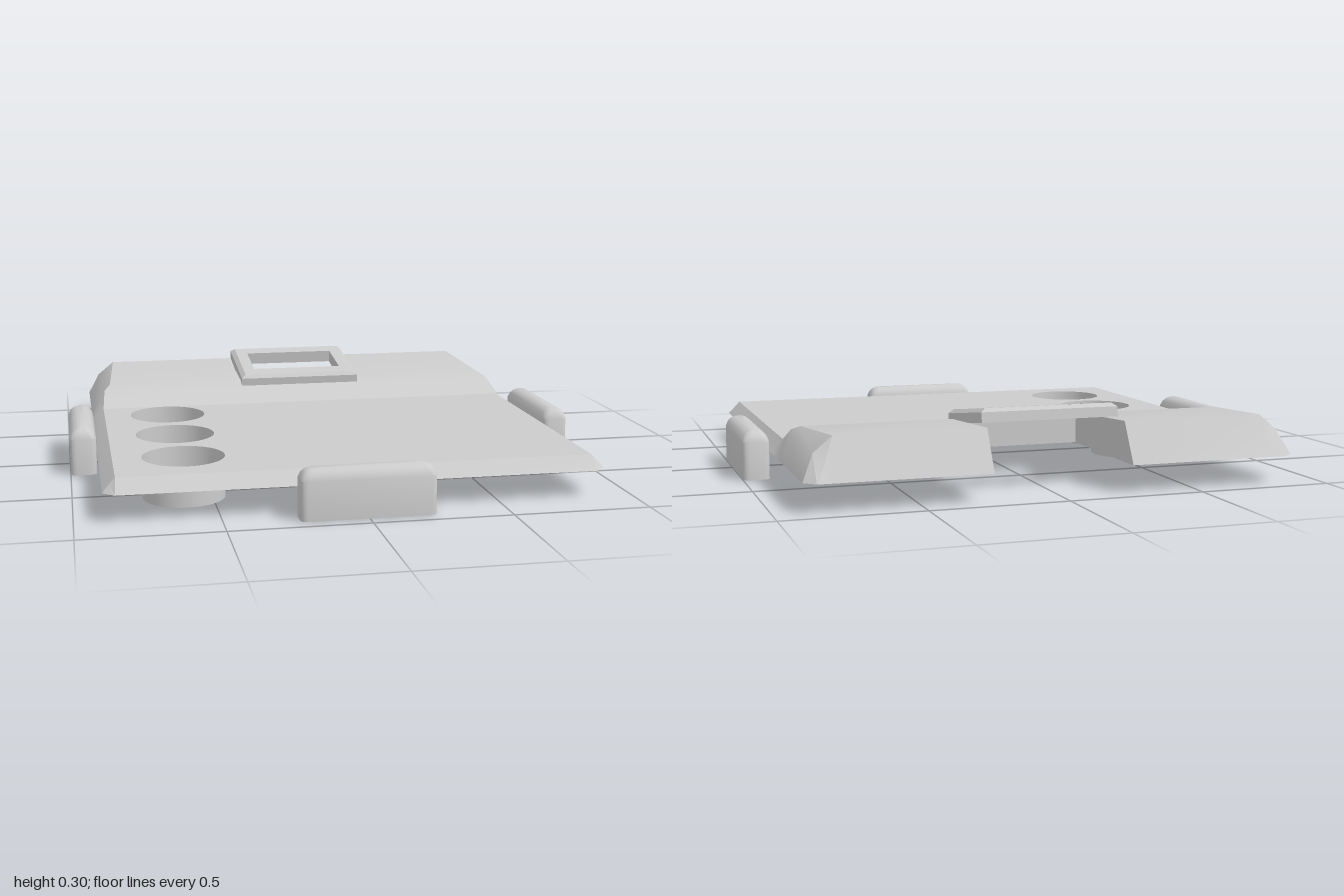
import * as THREE from 'three';
import { toCreasedNormals } from 'three/addons/utils/BufferGeometryUtils.js';

const solid = new THREE.MeshStandardMaterial({ color: 0xcccccc });
const sheet = new THREE.MeshStandardMaterial({ color: 0xcccccc, side: THREE.DoubleSide });

function add(parent, name, geometry, material, x = 0, y = 0, z = 0) {
  const mesh = new THREE.Mesh(geometry, material);
  mesh.name = name;
  mesh.position.set(x, y, z);
  parent.add(mesh);
  return mesh;
}

// Skin a grid of points, row by row; keep(i, j) can leave quads open.
function skin(rows, crease, keep = () => true) {
  const n = rows[0].length, index = [];
  for (let i = 0; i < rows.length - 1; i++) {
    for (let j = 0; j < n - 1; j++) {
      if (!keep(i, j)) continue;
      const a = i * n + j, d = a + n;
      index.push(a, a + 1, d + 1, a, d + 1, d);
    }
  }
  const g = new THREE.BufferGeometry();
  g.setAttribute('position', new THREE.Float32BufferAttribute(rows.flat(2), 3));
  g.setIndex(index);
  return toCreasedNormals(g, crease);
}

// Closed ring around a rounded rectangle, anticlockwise seen from above.
function ring(hx, hz, y, r = 0, steps = 0) {
  const pts = [];
  [[1, 1], [1, -1], [-1, -1], [-1, 1]].forEach(([sx, sz], q) => {
    for (let k = 0; k <= steps; k++) {
      const a = (q - 1 + (steps ? k / steps : 0)) * Math.PI / 2;
      pts.push([sx * (hx - r) + r * Math.cos(a), y, sz * (hz - r) - r * Math.sin(a)]);
    }
  });
  pts.push(pts[0]);
  return pts;
}

// Bumper: upright block with rounded corners and a softened top.
function bumperGeometry() {
  const rings = [[0.24, 0], [0, 0], [0, 0.14], [0.008, 0.16], [0.018, 0.172], [0.033, 0.18], [0.24, 0.18]];
  return skin(rings.map(([inset, y]) => {
    const hx = Math.max(0.24 - inset, 0), hz = Math.max(0.05 - inset, 0);
    return ring(hx, hz, y, Math.min(0.025, hz), 4);
  }), 0.6);
}

export function createModel() {
  const model = new THREE.Group();
  model.name = 'tray';
  const cups = [-0.15, 0.2, 0.55], cupX = -0.6, cupR = 0.15, deckY = 0.15, notchX = 0.255;

  // Shell cross-sections, front to back: z, top height, top half-width, shoulder x and y, rim x and z
  const sections = [
    [0.85, 0.1, 0.855, 0.858, 0.1, 0.86, 0.85],
    [0.8, deckY, 0.855, 0.878, 0.125, 0.9, 0.81],
    [-0.3, deckY, 0.855, 0.878, 0.125, 0.9, -0.3],
    [-0.42, 0.203, 0.845, 0.865, 0.175, 0.9, -0.42],
    [-0.47, 0.22, 0.82, 0.86, 0.187, 0.9, -0.47],
    [-0.87, 0.245, 0.79, 0.857, 0.19, 0.9, -0.91],
    [-0.95, 0.1, 0.79, 0.855, 0.1, 0.86, -0.95],
  ];
  const rows = sections.map(([z, y, xt, xm, ym, xr, zr]) => {
    const half = [[notchX, y, z], [xt, y, z], [xm, ym, z], [xr, 0.1, zr]];
    return [...half.map(([x, b, c]) => [-x, b, c]).reverse(), ...half];
  });
  add(model, 'shell', skin(rows, 0.5, (i, j) =>
    !(i === 1 && j >= 2 && j <= 4) && !(i >= 3 && j === 3)), sheet);

  // Flat deck with the cup openings
  const deck = new THREE.Shape([[-0.855, -0.8], [0.855, -0.8], [0.855, 0.3], [-0.855, 0.3]]
    .map(([x, y]) => new THREE.Vector2(x, y)));
  for (const z of cups) {
    deck.holes.push(new THREE.Path().absarc(cupX, -z, cupR, 0, Math.PI * 2, true));
  }
  add(model, 'deck', new THREE.ShapeGeometry(deck, 24).rotateX(-Math.PI / 2), sheet, 0, deckY, 0);

  // Round wells hanging below the deck
  for (const z of cups) {
    const well = new THREE.LatheGeometry(
      [[0, 0], [cupR, 0], [cupR, deckY]].map(([x, y]) => new THREE.Vector2(x, y)), 48);
    add(model, 'cupWell', toCreasedNormals(well, 0.6), sheet, cupX, 0, z);
  }

  // Walls around the rear notch
  const wall = new THREE.Shape([[0.42, 0.1], [0.95, 0.1], [0.87, 0.245], [0.47, 0.22], [0.42, 0.203]]
    .map(([x, y]) => new THREE.Vector2(x, y)));
  for (const s of [-1, 1]) {
    add(model, 'notchSideWall', new THREE.ShapeGeometry(wall).rotateY(Math.PI / 2), sheet, s * notchX, 0, 0);
  }
  add(model, 'notchFrontWall', new THREE.PlaneGeometry(notchX * 2, 0.103), sheet, 0, 0.1515, -0.42);

  // Tilted window frame with a chamfered outer edge
  const frame = skin([
    ring(0.19, 0.11, 0), ring(0.255, 0.197, 0), ring(0.255, 0.197, 0.036),
    ring(0.238, 0.182, 0.05), ring(0.19, 0.11, 0.05), ring(0.19, 0.11, 0),
  ], 0.3);
  add(model, 'windowFrame', frame, sheet, 0, 0.226, -0.617).rotation.x = 0.14;

  // Bumpers on the front and both sides
  const bumper = bumperGeometry();
  add(model, 'frontBumper', bumper, solid, 0, 0, 0.9);
  for (const s of [-1, 1]) {
    add(model, 'sideBumper', bumper, solid, s * 0.95, 0, -0.05).rotation.y = Math.PI / 2;
  }
  return model;
}
